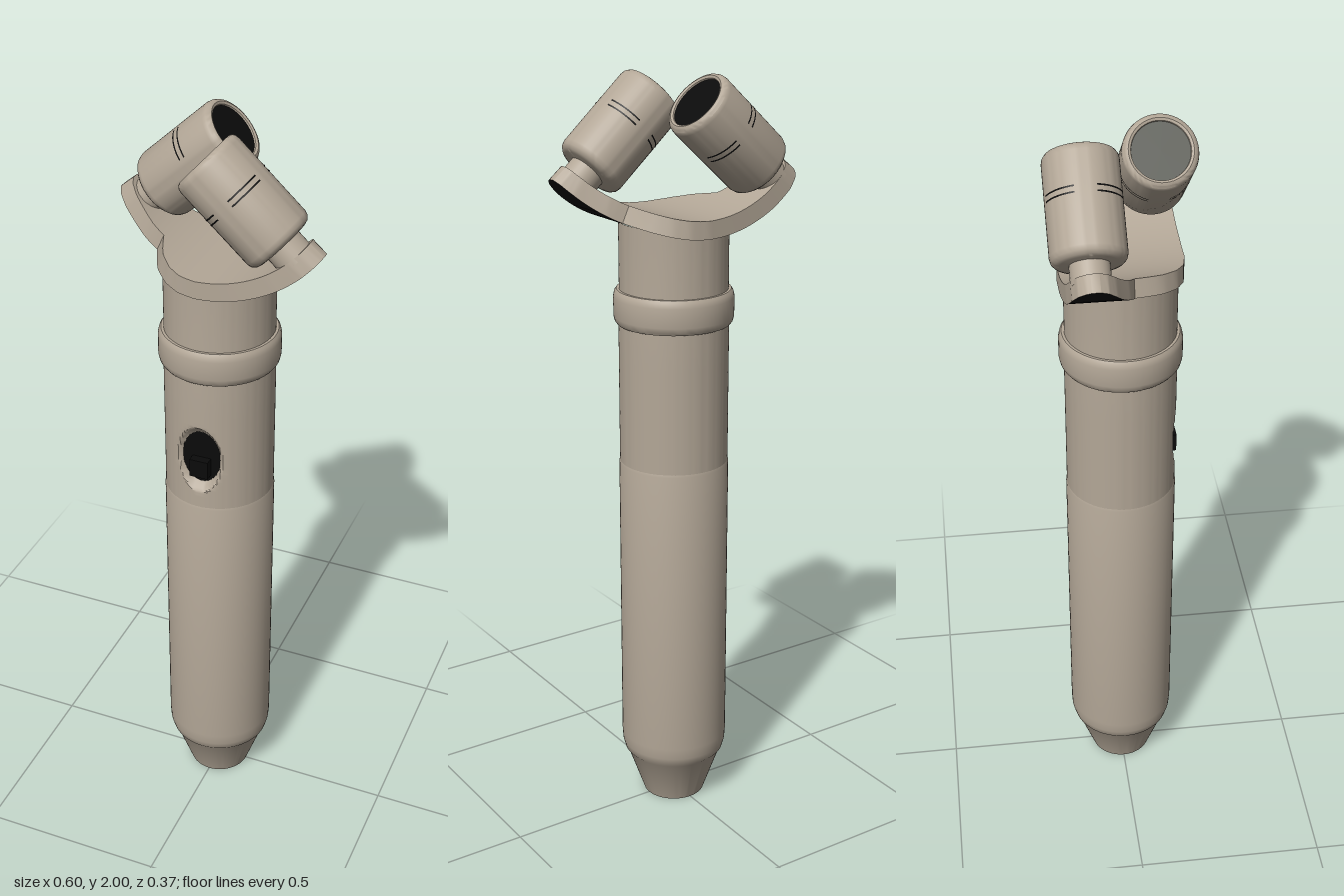
import * as THREE from 'three';
import { toCreasedNormals } from 'three/addons/utils/BufferGeometryUtils.js';

const material = (name, color) => {
  const m = new THREE.MeshStandardMaterial({ color });
  m.name = name;
  return m;
};

export function createModel() {
  const model = new THREE.Group();
  const beige = material('warm beige', 0xb3a797);
  const black = material('black', 0x0b0b0b);
  const olive = material('dark olive', 0x50524a);

  const add = (parent, name, geometry, mat) => {
    const mesh = new THREE.Mesh(geometry, mat);
    mesh.name = name;
    parent.add(mesh);
    return mesh;
  };
  const lathe = (profile, segments = 64) =>
    new THREE.LatheGeometry(profile.map(([r, y]) => new THREE.Vector2(r, y)), segments);
  const creased = (geometry) => toCreasedNormals(geometry, 0.6);

  // Handle with tapered foot
  add(model, 'handle', creased(lathe([
    [0.084, 0], [0.13, 0.13], [0.137, 0.138], [0.143, 0.16], [0.145, 0.19], [0.145, 0.99], [0.142, 1.0],
  ])), beige);
  const foot = add(model, 'footDisc', new THREE.CircleGeometry(0.084, 48), black);
  foot.rotation.x = Math.PI / 2;

  // Upper body, with a shallow bowl pressed in for the switch
  const rows = [];
  for (let i = 0; i <= 50; i++) rows.push([0.143, 0.995 + i * 0.0055]);
  rows.push([0.143, 1.4], [0.141, 1.45], [0.141, 1.635]);
  const upper = lathe(rows, 112);
  const p = upper.attributes.position;
  for (let i = 0; i < p.count; i++) {
    const d = Math.hypot(p.getX(i) / 0.07, (p.getY(i) - 1.14) / 0.1);
    if (p.getZ(i) > 0 && d < 1) {
      const rise = Math.max(0, (d - 0.72) / 0.28);
      p.setZ(i, Math.min(p.getZ(i), 0.118 + 0.027 * rise));
    }
  }
  upper.computeVertexNormals();
  add(model, 'upperBody', creased(upper), beige);

  // Switch in the bowl
  const plate = add(model, 'switchPlate', new THREE.CircleGeometry(1, 40), black);
  plate.scale.set(0.053, 0.076, 1);
  plate.position.set(0, 1.138, 0.121);
  const knob = add(model, 'switchKnob', new THREE.BoxGeometry(0.05, 0.05, 0.024), black);
  knob.position.set(0, 1.113, 0.132);

  // Rounded collar
  add(model, 'collar', creased(lathe([
    [0.138, 1.37], [0.148, 1.37], [0.153, 1.377], [0.156, 1.39], [0.156, 1.44],
    [0.153, 1.453], [0.148, 1.46], [0.138, 1.46],
  ])), beige);

  // Curved S-shaped bracket: front edge in plan, the back edge is its half turn
  const edge = [
    [-0.3, -0.08], [-0.292, -0.06], [-0.27, -0.04], [-0.2, 0], [-0.16, 0.015], [-0.145, 0.055],
    [-0.125, 0.09], [-0.09, 0.125], [-0.05, 0.147], [0, 0.156], [0.08, 0.155], [0.2, 0.15],
    [0.26, 0.143], [0.285, 0.13], [0.296, 0.113], [0.3, 0.1],
  ];
  const frontZ = (x) => {
    let i = 0;
    while (i < edge.length - 2 && x > edge[i + 1][0]) i++;
    const [[x0, z0], [x1, z1]] = [edge[i], edge[i + 1]];
    return z0 + (z1 - z0) * (x - x0) / (x1 - x0);
  };
  const steps = 72;
  const sections = [];
  for (let i = 0; i <= steps; i++) {
    const x = -0.3 * Math.cos(Math.PI * i / steps);
    const angle = Math.asin(x / 0.39);
    const corner = (r, z) => [r * Math.sin(angle), 2 - r * Math.cos(angle), z];
    const front = frontZ(x), back = -frontZ(-x);
    sections.push([corner(0.39, back), corner(0.39, front), corner(0.344, front), corner(0.344, back)]);
  }
  const skin = (sides, ends) => {
    const out = [];
    const quad = (a, b, c, d) => out.push(...a, ...b, ...d, ...b, ...c, ...d);
    for (let i = 0; i < steps; i++) {
      const s = sections[i], t = sections[i + 1];
      for (const k of sides) quad(s[k], t[k], t[(k + 1) % 4], s[(k + 1) % 4]);
    }
    if (ends) {
      const s = sections[0], t = sections[steps];
      quad(s[0], s[1], s[2], s[3]);
      quad(t[3], t[2], t[1], t[0]);
    }
    const g = new THREE.BufferGeometry();
    g.setAttribute('position', new THREE.Float32BufferAttribute(out, 3));
    return creased(g);
  };
  add(model, 'bracket', skin([1, 2, 3], true), beige);
  add(model, 'bracketUnderside', skin([0], false), black);

  // Two crossed capsules, the second a half turn from the first
  const capsuleProfile = [
    [0, -0.265], [0.07, -0.265], [0.08, -0.262], [0.088, -0.254], [0.091, -0.243], [0.091, -0.02],
    [0.089, -0.01], [0.084, -0.003], [0.077, 0], [0.071, -0.003], [0.069, -0.012],
  ];
  const capsule = (name, endMaterial, turn) => {
    const pivot = new THREE.Group();
    pivot.name = name;
    pivot.rotation.y = turn;
    const tilted = new THREE.Group();
    tilted.name = name + 'Tilt';
    tilted.position.set(0, 1.94, 0.095);
    tilted.rotation.z = 0.833;
    pivot.add(tilted);
    add(tilted, 'capsuleShell', creased(lathe(capsuleProfile)), beige);
    const end = add(tilted, 'capsuleEnd', new THREE.CircleGeometry(0.071, 48), endMaterial);
    end.rotation.x = -Math.PI / 2;
    end.position.y = -0.007;
    const stem = add(tilted, 'stem', new THREE.CylinderGeometry(0.048, 0.048, 0.06, 32), beige);
    stem.position.y = -0.285;
    // Paired vent slots in each quarter
    for (const y of [-0.105, -0.12]) {
      for (let q = 0; q < 4; q++) {
        const slot = add(tilted, 'ventSlot', new THREE.CylinderGeometry(
          0.0918, 0.0918, 0.004, 12, 1, true, q * Math.PI / 2 + 0.28, 1.0), black);
        slot.position.y = y;
      }
    }
    model.add(pivot);
  };
  capsule('frontCapsule', olive, 0);
  capsule('backCapsule', black, Math.PI);

  return model;
}
